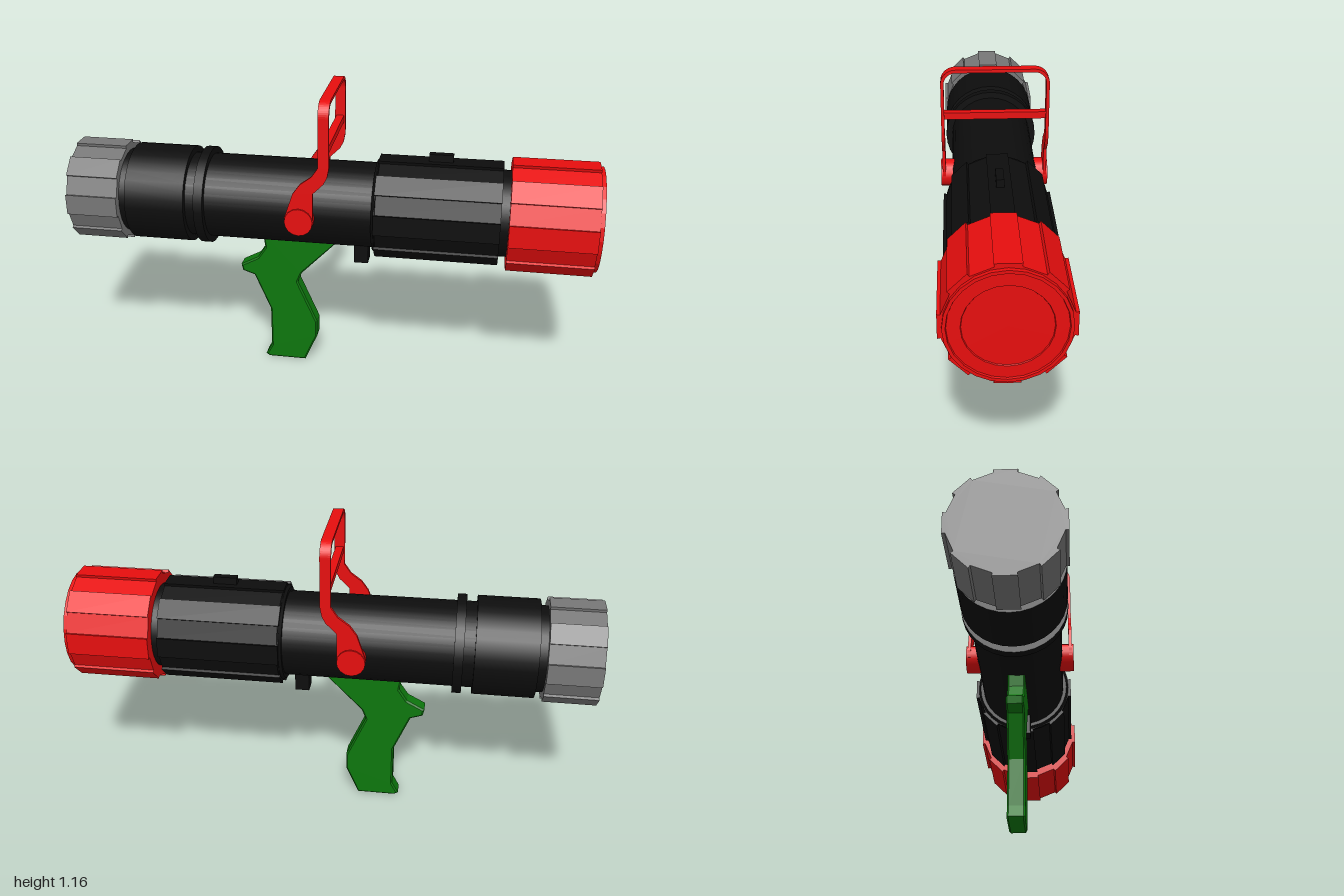
import * as THREE from 'three';

const AXIS_Y = 0.708;
const paint = (color, extra = {}) => new THREE.MeshStandardMaterial({ color, ...extra });

export function createModel() {
  const group = new THREE.Group();
  const black = paint(0x0d0d0d), grey = paint(0x777777);
  const red = paint(0xe60e0e), green = paint(0x0d760d);

  const add = (name, geometry, material, x = 0, y = 0, z = 0) => {
    const mesh = new THREE.Mesh(geometry, material);
    mesh.name = name;
    mesh.position.set(x, y, z);
    group.add(mesh);
    return mesh;
  };
  const outline = (pts) => new THREE.Shape(pts.map(([x, y]) => new THREE.Vector2(x, y)));
  const extrude = (shape, depth, bevel = 0) => new THREE.ExtrudeGeometry(shape, {
    depth: depth - 2 * bevel, bevelEnabled: bevel > 0, bevelSize: bevel,
    bevelThickness: bevel, bevelOffset: -bevel, bevelSegments: 1, curveSegments: 6,
  }).translate(0, 0, bevel - depth / 2);

  // Round section lying along x
  const barrel = (name, x0, x1, r0, r1 = r0, material = black) =>
    add(name, new THREE.CylinderGeometry(r1, r0, x1 - x0, 32).rotateZ(-Math.PI / 2),
      material, (x0 + x1) / 2, AXIS_Y);

  // Section along x with eight raised flat ribs
  const ribbed = (name, x0, x1, base, top, material) => {
    const pts = [], half = 0.2;
    for (let i = 0; i < 8; i++) {
      const mid = i * Math.PI / 4;
      for (const [r, a] of [[base, -half], [top, -half], [top, half], [base, half]])
        pts.push([r * Math.cos(mid + a), r * Math.sin(mid + a)]);
    }
    add(name, extrude(outline(pts), x1 - x0).rotateY(Math.PI / 2), material, (x0 + x1) / 2, AXIS_Y);
  };

  // Tube with its bands and fore grip
  barrel('tube', -0.82, 0.69, 0.163);
  barrel('rearBand', -0.77, -0.54, 0.187);
  barrel('rearRing', -0.5, -0.465, 0.188);
  barrel('foreGripCollar', 0.17, 0.185, 0.176, 0.188);
  ribbed('foreGrip', 0.18, 0.64, 0.187, 0.198, black);

  // End caps
  ribbed('rearCap', -1, -0.8, 0.187, 0.198, grey);
  ribbed('frontCap', 0.67, 0.985, 0.204, 0.215, red);
  const lidProfile = [[0.197, 0.96], [0.197, 1], [0.186, 1], [0.184, 0.993], [0.142, 0.993], [0.14, 0.989], [0, 0.989]];
  add('frontCapLid', new THREE.LatheGeometry(lidProfile.map(([r, h]) => new THREE.Vector2(r, h)), 24)
    .rotateZ(-Math.PI / 2), paint(0xe60e0e, { flatShading: true }), 0, AXIS_Y);

  // Pistol grip
  add('grip', extrude(outline([
    [-0.275, 0.57], [-0.265, 0.505], [-0.297, 0.457], [-0.366, 0.42], [-0.36, 0.393], [-0.313, 0.377],
    [-0.25, 0.227], [-0.25, 0.056], [-0.275, 0.01], [-0.26, 0], [-0.11, 0], [-0.06, 0.115],
    [-0.06, 0.185], [-0.136, 0.36], [-0.12, 0.4], [0.045, 0.57],
  ]), 0.064, 0.006), green, 0, 0, -0.006);

  // Small blocks under and over the tube
  add('lowerBlock', new THREE.BoxGeometry(0.055, 0.12, 0.06), black, 0.118, 0.53, 0);
  add('topStud', new THREE.BoxGeometry(0.09, 0.06, 0.027), black, 0.41, 0.9, 0);

  // Sight frame: rounded hoop, crossbar, and a bent arm with a pivot on each side
  const w = 0.2, top = 1.163, low = 0.92, c = 0.055, t = 0.012;
  const hoop = new THREE.Shape();
  hoop.moveTo(w, low);
  hoop.lineTo(w, top - c);
  hoop.absarc(w - c, top - c, c, 0, Math.PI / 2, false);
  hoop.absarc(c - w, top - c, c, Math.PI / 2, Math.PI, false);
  hoop.lineTo(-w, low);
  hoop.lineTo(t - w, low);
  hoop.absarc(c - w, top - c, c - t, Math.PI, Math.PI / 2, true);
  hoop.absarc(w - c, top - c, c - t, Math.PI / 2, 0, true);
  hoop.lineTo(w - t, low);
  add('sightHoop', extrude(hoop, 0.04).rotateY(Math.PI / 2), red);
  add('sightCrossbar', new THREE.BoxGeometry(0.03, 0.026, 2 * (w - t) + 0.004), red, 0, 0.983, 0);

  const arm = outline([
    [0.02, 0.922], [-0.02, 0.922], [-0.045, 0.885], [-0.088, 0.853], [-0.115, 0.815], [-0.147, 0.72],
    [-0.145, 0.69], [-0.045, 0.69], [-0.041, 0.72], [-0.04, 0.82], [0, 0.86], [0.013, 0.885],
  ]);
  for (const side of [1, -1]) {
    const label = side > 0 ? 'front' : 'back';
    add(label + 'SightArm', extrude(arm, t), red, 0, 0, side * (w - t / 2));
    add(label + 'SightPivot', new THREE.CylinderGeometry(0.053, 0.053, 0.056, 16).rotateX(Math.PI / 2),
      red, -0.094, 0.705, side * 0.178);
  }

  return group;
}
